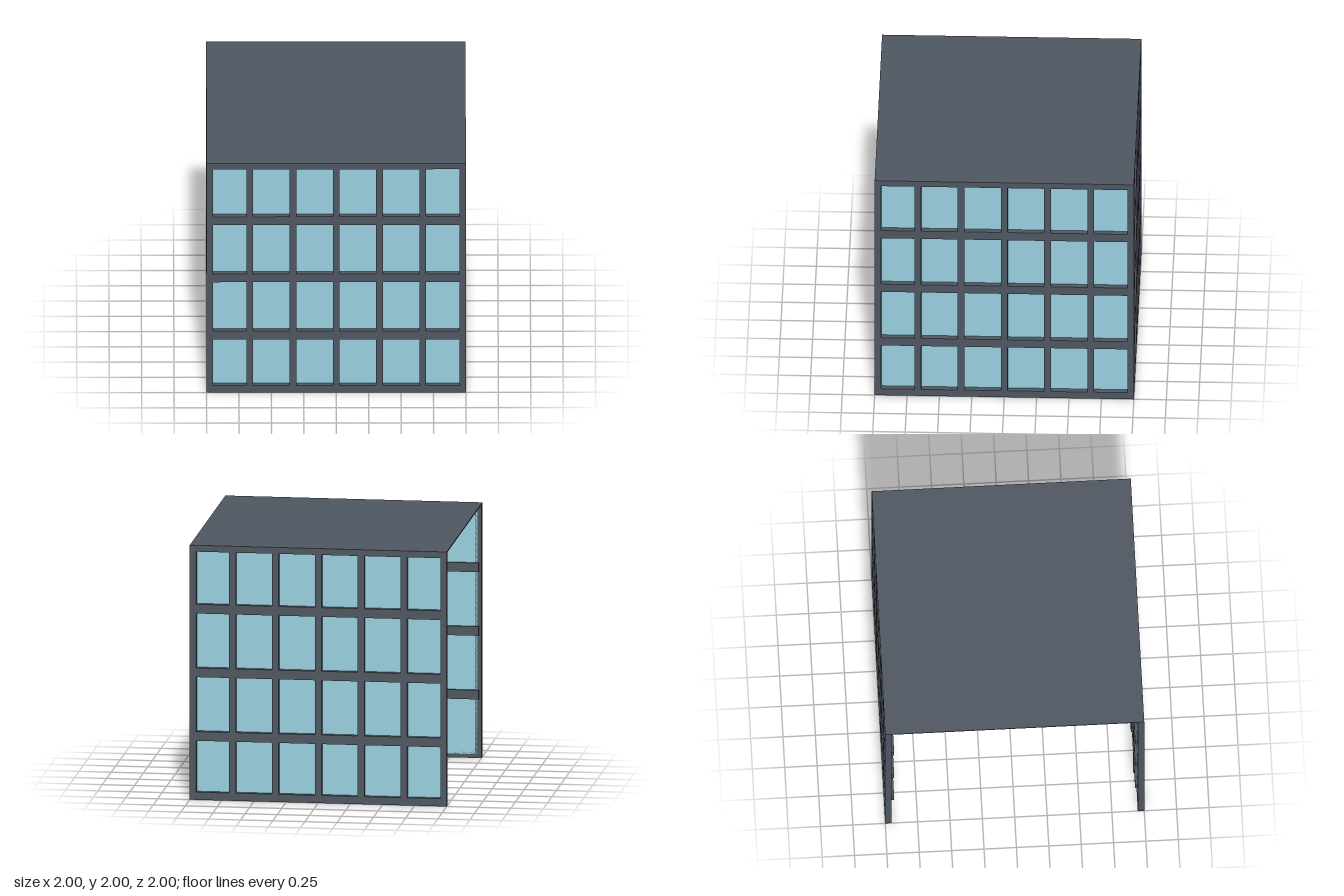
import * as THREE from 'three';

const frameMat = new THREE.MeshStandardMaterial({ color: 0x4e5660 });
const paneMat = new THREE.MeshStandardMaterial({ color: 0x98cede });

// box given by its min and max corners
function box(name, mat, x0, x1, y0, y1, z0, z1) {
  const mesh = new THREE.Mesh(new THREE.BoxGeometry(x1 - x0, y1 - y0, z1 - z0), mat);
  mesh.name = name;
  mesh.position.set((x0 + x1) / 2, (y0 + y1) / 2, (z0 + z1) / 2);
  return mesh;
}

// one glazed wall: outer face on local z = 1
function createWall(name) {
  const wall = new THREE.Group();
  wall.name = name;
  const inner = 0.93, post = 0.05;

  // glass sheet set back between the bars
  wall.add(box('glass', paneMat, -0.97, 0.97, 0.03, 1.97, 0.95, 0.958));

  // outer frame
  wall.add(box('leftPost', frameMat, -1, -1 + post, 0, 2, 1 - post, 1));
  wall.add(box('rightPost', frameMat, 1 - post, 1, 0, 2, 1 - post, 1));
  wall.add(box('bottomRail', frameMat, -1, 1, 0, 0.06, 1 - post, 1));
  wall.add(box('topRail', frameMat, -1, 1, 1.95, 2, 1 - post, 1));

  // five uprights and three cross bars
  for (let i = -2; i <= 2; i++) {
    const x = i / 3;
    wall.add(box('mullion', frameMat, x - 0.026, x + 0.026, 0.03, 1.98, inner, 1));
  }
  for (let j = 1; j <= 3; j++) {
    const y = j / 2;
    wall.add(box('crossBar', frameMat, -0.98, 0.98, y - 0.036, y + 0.036, inner, 1));
  }
  return wall;
}

export function createModel() {
  const model = new THREE.Group();
  model.name = 'glazedPavilion';

  // three walls; the -x side and the floor stay open
  ['frontWall', 'leftWall', 'backWall'].forEach((name, i) => {
    const wall = createWall(name);
    wall.rotation.y = i * Math.PI / 2;
    model.add(wall);
  });

  // thin flat roof
  model.add(box('roof', frameMat, -1, 1, 1.99, 2, -1, 1));
  return model;
}
